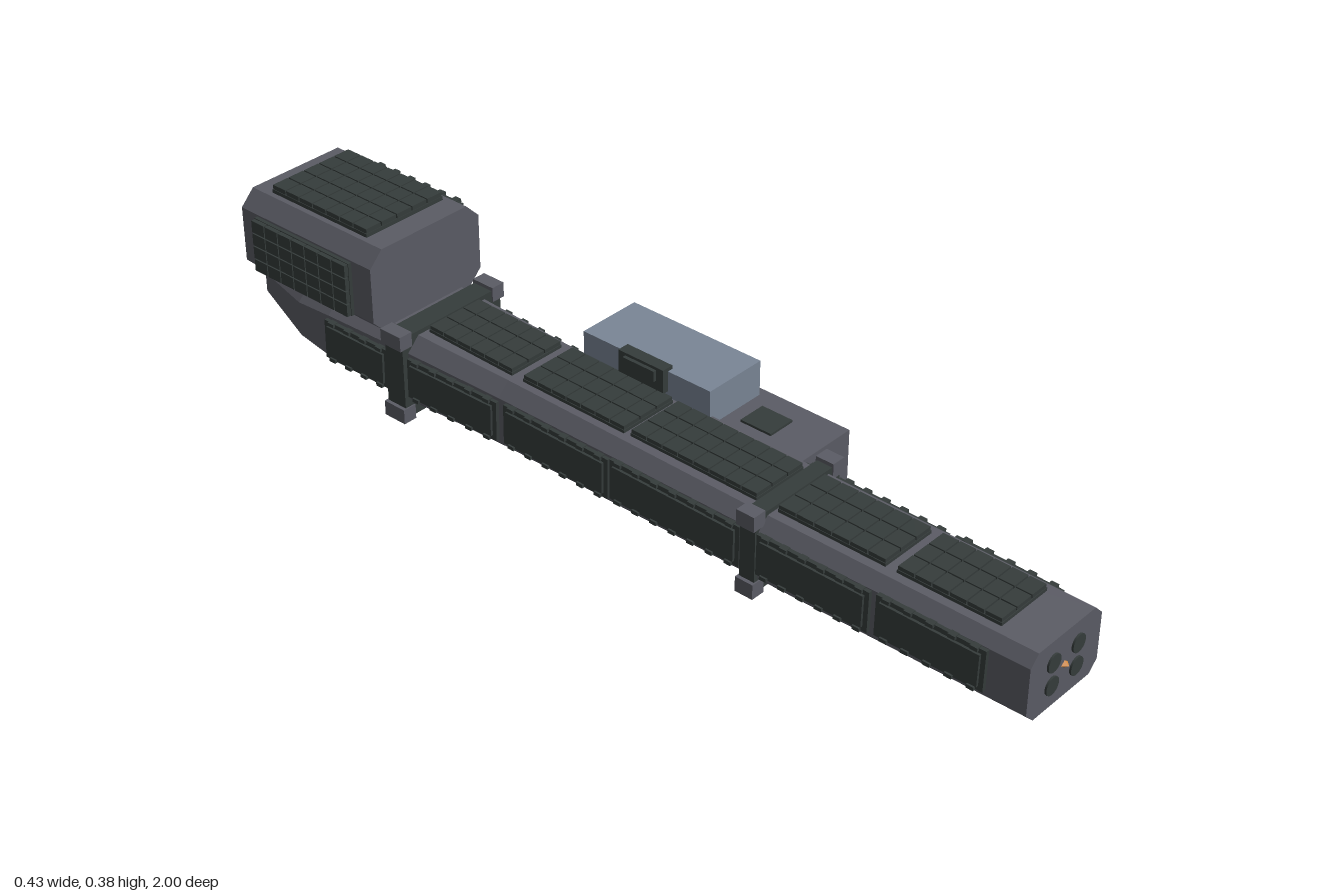
import * as THREE from 'three';
import { mergeGeometries } from 'three/addons/utils/BufferGeometryUtils.js';

const CX = -0.048; // hull centre line

// Hull stations: z, half width, bottom, top, chamfer
const STATIONS = [
  [0.99, 0.107, 0.022, 0.168, 0.022],
  [0.38, 0.113, 0.02, 0.173, 0.025],
  [-0.26, 0.114, 0.02, 0.18, 0.028],
  [-0.53, 0.124, 0.018, 0.187, 0.03],
  [-0.73, 0.13, 0.022, 0.19, 0.034],
  [-0.83, 0.122, 0.031, 0.178, 0.034],
  [-1.0, 0.066, 0.056, 0.148, 0.024],
];

function hullAt(z) {
  let i = 0;
  while (i < STATIONS.length - 2 && z < STATIONS[i + 1][0]) i++;
  const a = STATIONS[i], b = STATIONS[i + 1];
  const t = (z - a[0]) / (b[0] - a[0]);
  return a.map((v, k) => v + (b[k] - v) * t);
}

// Octagon corners, counter-clockwise seen from +z
function octagon(cx, hw, y0, y1, c) {
  return [
    [cx + hw, y0 + c], [cx + hw, y1 - c], [cx + hw - c, y1], [cx - hw + c, y1],
    [cx - hw, y1 - c], [cx - hw, y0 + c], [cx - hw + c, y0], [cx + hw - c, y0],
  ];
}

// Flat-faced solid through a list of sections ordered from +z to -z
function loft(sections) {
  const pos = [];
  const tri = (a, b, c) => pos.push(...a, ...b, ...c);
  for (let s = 0; s < sections.length - 1; s++) {
    const A = sections[s], B = sections[s + 1], n = A.length;
    for (let i = 0; i < n; i++) {
      const j = (i + 1) % n;
      tri(A[i], B[i], B[j]);
      tri(A[i], B[j], A[j]);
    }
  }
  const F = sections[0], R = sections[sections.length - 1];
  for (let i = 1; i < F.length - 1; i++) {
    tri(F[0], F[i], F[i + 1]);
    tri(R[0], R[i + 1], R[i]);
  }
  const g = new THREE.BufferGeometry();
  g.setAttribute('position', new THREE.Float32BufferAttribute(pos, 3));
  g.computeVertexNormals();
  return g;
}

const boxAt = (x0, x1, y0, y1, z0, z1) =>
  new THREE.BoxGeometry(x1 - x0, y1 - y0, z1 - z0)
    .translate((x0 + x1) / 2, (y0 + y1) / 2, (z0 + z1) / 2);

// Armour panel lying on y = 0, split into nx by nz tiles on a backing plate
function tiledPanel(w, l, h, nx, nz) {
  const parts = [boxAt(-w / 2, w / 2, -0.004, h * 0.45, -l / 2, l / 2)];
  const gap = 0.003, tw = w / nx, tl = l / nz;
  for (let i = 0; i < nx; i++) for (let k = 0; k < nz; k++) {
    const x = -w / 2 + i * tw, z = -l / 2 + k * tl;
    parts.push(boxAt(x + gap / 2, x + tw - gap / 2, 0, h, z + gap / 2, z + tl - gap / 2));
  }
  return mergeGeometries(parts);
}

// Smooth panel with a raised centre and small clamps along both long edges
function clampedPanel(w, l, h) {
  const parts = [
    boxAt(-w / 2, w / 2, -0.005, h * 0.6, -l / 2, l / 2),
    boxAt(-w / 2 + 0.01, w / 2 - 0.01, 0, h, -l / 2 + 0.01, l / 2 - 0.01),
  ];
  const n = Math.max(2, Math.round(l / 0.045));
  for (let i = 0; i < n; i++) for (const s of [-1, 1]) {
    const z = -l / 2 + (i + 0.5) * l / n, x = s * (w / 2 - 0.002);
    parts.push(boxAt(x - 0.004, x + 0.004, 0, h, z - 0.008, z + 0.008));
  }
  return mergeGeometries(parts);
}

export function createModel() {
  const root = new THREE.Group();
  const mat = (name, color) => new THREE.MeshStandardMaterial({ name, color });
  const hullGrey = mat('hullGrey', 0x5b5c65);
  const armour = mat('darkArmour', 0x353c3b);
  const podBlue = mat('podBlueGrey', 0x7a8696);
  const orange = mat('signalOrange', 0xd5893a);

  const add = (name, geometry, material, parent = root) => {
    const m = new THREE.Mesh(geometry, material);
    m.name = name;
    parent.add(m);
    return m;
  };
  // Lay a panel along the line a-b, facing the given normal
  const lay = (mesh, a, b, normal) => {
    const z = b.clone().sub(a).normalize();
    const x = normal.clone().cross(z).normalize();
    const y = z.clone().cross(x);
    mesh.quaternion.setFromRotationMatrix(new THREE.Matrix4().makeBasis(x, y, z));
    mesh.position.copy(a).add(b).multiplyScalar(0.5);
  };
  const V = (x, y, z) => new THREE.Vector3(x, y, z);

  // Main hull
  add('hull', loft(STATIONS.map(([z, hw, y0, y1, c]) =>
    octagon(CX, hw, y0, y1, c).map(([x, y]) => [x, y, z]))), hullGrey);

  // Armour along the top, bottom and both sides: z start, z end, tile rows, top width
  const runs = [
    [0.9, 0.675, 6, 0.135], [0.65, 0.405, 6, 0.135], [0.355, 0.045, 8, 0.135],
    [0.03, -0.235, 7, 0.14], [-0.265, -0.495, 6, 0.14], [-0.56, -0.73, 4, 0.15],
  ];
  runs.forEach(([z1, z0, rows, w], i) => {
    const f = hullAt(z1), r = hullAt(z0);
    const l = z1 - z0;
    if (i < 5) {
      const top = add('topArmour', tiledPanel(w, l, 0.015, 3, rows), armour);
      lay(top, V(CX, r[3], z0), V(CX, f[3], z1), V(0, 1, 0));
    }
    const bottom = add('bottomArmour', tiledPanel(w, l, 0.013, 3, rows), armour);
    lay(bottom, V(CX, r[2], z0), V(CX, f[2], z1), V(0, -1, 0));
    for (const s of [-1, 1]) {
      const side = add(s > 0 ? 'leftSideArmour' : 'rightSideArmour',
        clampedPanel(0.09, l + 0.01, 0.014), armour);
      lay(side, V(CX + s * r[1], 0.104, z0), V(CX + s * f[1], 0.1, z1), V(s, 0, 0));
    }
  });

  // Clamp collars with corner blocks
  for (const [z, hw, y0, y1, d] of [[0.38, 0.13, 0.006, 0.19, 0.036], [-0.528, 0.146, 0.0, 0.204, 0.05]]) {
    const collar = new THREE.Group();
    collar.name = 'collar';
    root.add(collar);
    add('collarBand', loft([d / 2, -d / 2].map(dz =>
      octagon(CX, hw - 0.008, y0 + 0.008, y1 - 0.008, 0.02).map(([x, y]) => [x, y, z + dz]))), armour, collar);
    for (const s of [-1, 1]) for (const y of [y0, y1 - 0.033]) {
      const x = CX + s * (hw - 0.016);
      add('collarBlock', boxAt(x - 0.016, x + 0.016, y, y + 0.033, z - d / 2 - 0.003, z + d / 2 + 0.003), hullGrey, collar);
    }
  }

  // Nose: four launch ports around a small beacon
  for (const dx of [-0.037, 0.037]) for (const y of [0.07, 0.12]) {
    const port = add('nosePort', new THREE.CylinderGeometry(0.019, 0.019, 0.008, 24), armour);
    port.rotation.x = Math.PI / 2;
    port.position.set(CX + dx, y, 0.99);
  }
  const beacon = add('noseBeacon', new THREE.OctahedronGeometry(0.01), orange);
  beacon.position.set(CX, 0.095, 0.99);
  beacon.scale.y = 0.8;

  // Rear tower with armour on four faces
  add('tower', loft([-0.57, -0.952].map(z =>
    octagon(CX, 0.15, 0.178, 0.367, 0.033).map(([x, y]) => [x, y, z]))), hullGrey);
  lay(add('towerTopArmour', tiledPanel(0.21, 0.28, 0.018, 5, 7), armour),
    V(CX, 0.367, -0.905), V(CX, 0.367, -0.625), V(0, 1, 0));
  lay(add('towerRightArmour', tiledPanel(0.12, 0.28, 0.018, 4, 7), armour),
    V(CX - 0.15, 0.27, -0.905), V(CX - 0.15, 0.27, -0.625), V(-1, 0, 0));
  lay(add('towerLeftArmour', clampedPanel(0.125, 0.27, 0.02), armour),
    V(CX + 0.15, 0.273, -0.895), V(CX + 0.15, 0.273, -0.625), V(1, 0, 0));
  lay(add('towerRearArmour', tiledPanel(0.22, 0.12, 0.015, 4, 3), armour),
    V(CX, 0.213, -0.952), V(CX, 0.333, -0.952), V(0, 0, -1));

  // Lower side box with hatches and a rear nozzle
  add('sideBox', boxAt(0.045, 0.202, 0.013, 0.155, 0.06, 0.32), hullGrey);
  add('sideBoxHatch', boxAt(0.2, 0.213, 0.035, 0.134, 0.145, 0.24), armour);
  add('sideBoxTopHatch', boxAt(0.085, 0.15, 0.15, 0.16, 0.147, 0.222), armour);
  const nozzle = add('sideBoxNozzle', new THREE.CylinderGeometry(0.045, 0.045, 0.02, 24), armour);
  nozzle.rotation.x = Math.PI / 2;
  nozzle.position.set(0.138, 0.084, 0.054);

  // Upper side pod with a hatch, a window and a docking block
  add('pod', boxAt(0.032, 0.18, 0.157, 0.235, -0.213, 0.115), podBlue);
  add('podHatch', boxAt(0.178, 0.19, 0.155, 0.22, -0.095, 0.002), armour);
  add('podWindow', boxAt(0.178, 0.184, 0.18, 0.216, -0.138, -0.096), orange);
  add('podDockingBlock', boxAt(0.018, 0.045, 0.19, 0.243, -0.108, 0.008), armour);
  add('podDockingArm', boxAt(0.01, 0.03, 0.213, 0.237, -0.09, -0.01), armour);

  return root;
}
